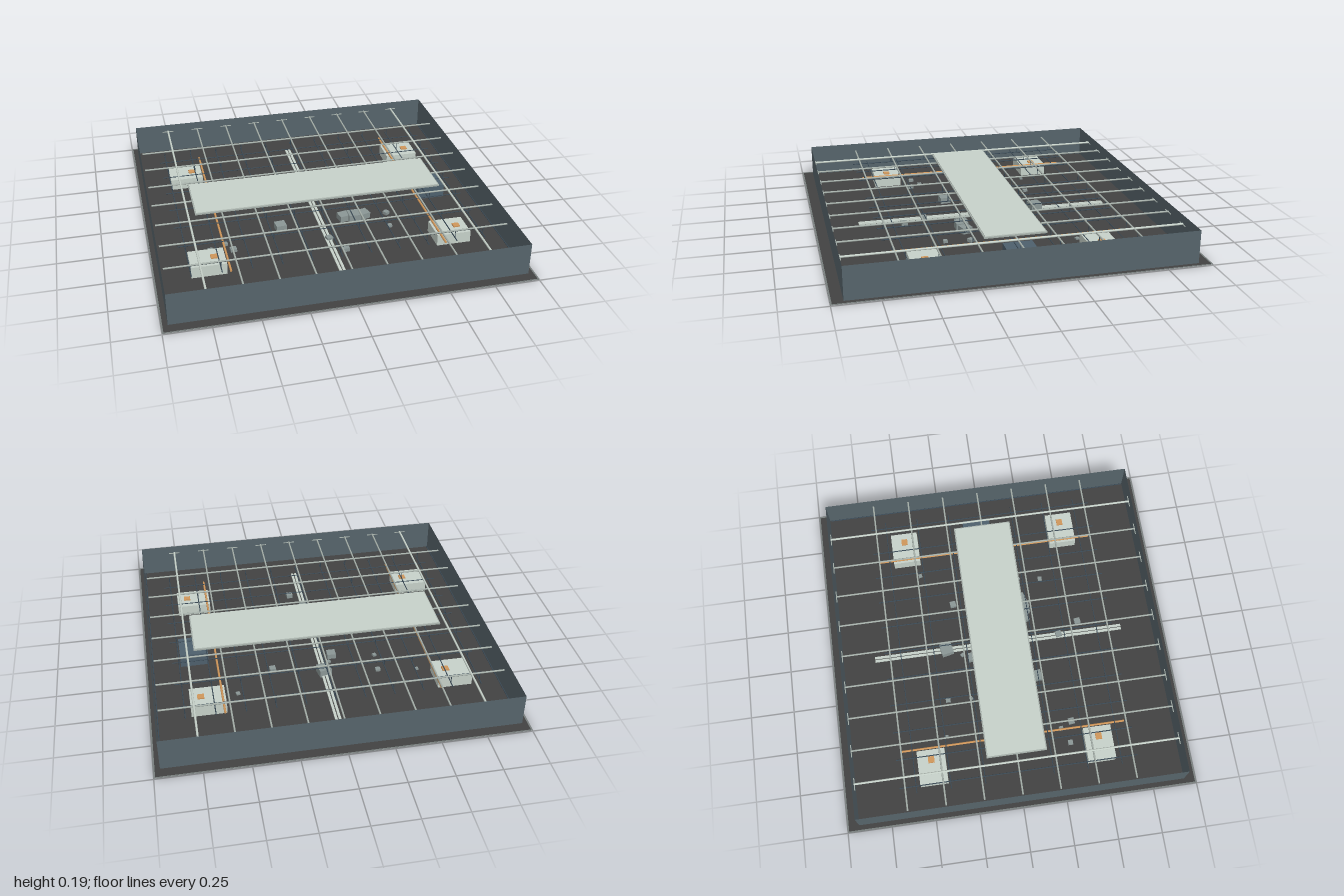
import * as THREE from 'three';

const mat = (name, color, side = THREE.FrontSide) => {
  const m = new THREE.MeshStandardMaterial({ color, side });
  m.name = name;
  return m;
};

export function createModel() {
  const model = new THREE.Group();
  model.name = 'hall';
  const floorMat = mat('charcoal floor', 0x424242);
  const baseMat = mat('grey foundation', 0x787f7e);
  const wallMat = mat('slate wall', 0x56646b, THREE.DoubleSide);
  const pale = mat('pale panel', 0xc6d1c9);
  const steel = mat('steel beam', 0xa5afa9);
  const dark = mat('dark pipe', 0x3b4b57);
  const blue = mat('blue console', 0x4e606d);
  const orange = mat('orange marking', 0xcf965a);
  const rubble = mat('grey rubble', 0x8a9695);

  const add = (name, geometry, material, x, y, z) => {
    const m = new THREE.Mesh(geometry, material);
    m.name = name;
    m.position.set(x, y, z);
    model.add(m);
    return m;
  };
  const box = (name, material, w, h, d, x, y, z) =>
    add(name, new THREE.BoxGeometry(w, h, d), material, x, y, z);
  const plane = (name, material, w, h, x, y, z, rx, ry) =>
    add(name, new THREE.PlaneGeometry(w, h), material, x, y, z).rotation.set(rx, ry, 0);
  // Round bar along the x, y or z axis
  const rod = (name, material, radius, length, axis, x, y, z) => {
    const g = new THREE.CylinderGeometry(radius, radius, length, 16);
    if (axis === 'x') g.rotateZ(Math.PI / 2);
    if (axis === 'z') g.rotateX(Math.PI / 2);
    return add(name, g, material, x, y, z);
  };

  // Floor sheet, its underside and rim, and four thin walls
  plane('floor', floorMat, 2, 2, 0, 0.004, 0, -Math.PI / 2, 0);
  plane('underside', baseMat, 2, 2, 0, 0.002, 0, Math.PI / 2, 0);
  for (const s of [-1, 1]) {
    box('floorRimSide', baseMat, 0.008, 0.002, 2, s * 0.996, 0.005, 0);
    box('floorRimEnd', baseMat, 1.984, 0.002, 0.008, 0, 0.005, s * 0.996);
    plane('sideWall', wallMat, 1.866, 0.186, s * 0.965, 0.097, 0, 0, s * Math.PI / 2);
    plane('endWall', wallMat, 1.93, 0.186, 0, 0.097, s * 0.933, 0, s > 0 ? 0 : Math.PI);
    rod('wallSkirting', dark, 0.003, 1.85, 'z', s * 0.958, 0.012, 0);
  }

  // Upper beam grid with wall brackets
  const beamY = 0.145;
  const beamZ = [-0.645, -0.43, -0.215, 0, 0.215, 0.43, 0.645];
  for (const z of beamZ) rod('crossBeam', steel, 0.005, 1.9, 'x', 0, beamY, z);
  for (let i = -4; i <= 4; i++) {
    const x = i * 0.19;
    const edge = Math.abs(i) === 4;
    rod('longBeam', edge ? pale : steel, edge ? 0.006 : 0.005, 1.85, 'z', x, beamY + 0.002, 0);
    for (const s of [-1, 1])
      rod('wallBracket', steel, 0.003, 0.07, 'x', x, beamY, s * 0.923);
  }

  // Lower pipe grid carried by hangers
  const pipeY = 0.1;
  for (const z of [-0.585, -0.39, -0.195, 0, 0.195, 0.39, 0.585])
    rod('crossPipe', dark, 0.0025, 1.7, 'x', 0, pipeY, z);
  for (let i = -5; i <= 5; i++) {
    const x = i * 0.162;
    rod('longPipe', dark, 0.003, 1.36, 'z', x, pipeY, 0);
    for (const z of beamZ)
      rod('pipeHanger', dark, 0.002, beamY - pipeY, 'y', x, (beamY + pipeY) / 2, z);
  }

  // Large suspended panel with a slim frame
  box('panelFrame', steel, 1.444, 0.008, 0.344, 0, 0.156, 0);
  box('panel', pale, 1.43, 0.01, 0.33, 0, 0.159, 0);

  // Floor rails and orange guide lines
  for (const s of [-1, 1]) {
    box('floorRail', pale, 0.014, 0.008, 1.49, s * 0.01, 0.009, 0);
    rod('guideLine', orange, 0.006, 1.29, 'z', s * 0.597, 0.076, 0);
  }

  // Corner machines with an orange cap
  for (const s of [-1, 1]) {
    for (const [x, capX] of [[-0.703, -0.665], [0.677, 0.715]]) {
      box('machine', pale, 0.195, 0.066, 0.16, x, 0.037, s * 0.483);
      box('machineCap', orange, 0.038, 0.008, 0.036, capX, 0.073, s * 0.484);
    }
  }

  // Console beside the panel
  box('console', blue, 0.16, 0.08, 0.165, 0.72, 0.044, -0.03);

  // Loose rubble: x, z, size, turn, base height
  const pieces = [
    [0, -0.315, 0.07, 0.2], [-0.31, -0.345, 0.028, 0, 0], [0.285, -0.24, 0.035, 0.1],
    [0.505, -0.415, 0.022, 0.2, 0], [-0.53, -0.38, 0.018, 0], [-0.32, -0.21, 0.02, 0.4],
    [-0.07, -0.17, 0.05, 0], [-0.045, -0.225, 0.02, 0.5], [-0.24, 0.19, 0.06, 0.1],
    [0.14, 0.17, 0.06, 0.2], [0.2, 0.18, 0.07, 0], [0.26, 0.17, 0.06, 0.3],
    [0.4, 0.17, 0.03, 0.6], [-0.665, 0.325, 0.028, 0, 0], [-0.575, 0.285, 0.024, 0.1],
    [-0.54, 0.35, 0.035, 0.1, 0], [0.005, 0.365, 0.035, 0.2], [0.38, 0.31, 0.024, 0],
    [0.07, 0.49, 0.036, 0.1],
  ];
  for (const [x, z, s, turn, base = 0.005] of pieces)
    box('rubble', rubble, s, s * 0.6, s, x, base + s * 0.3, z).rotation.y = turn;

  return model;
}
